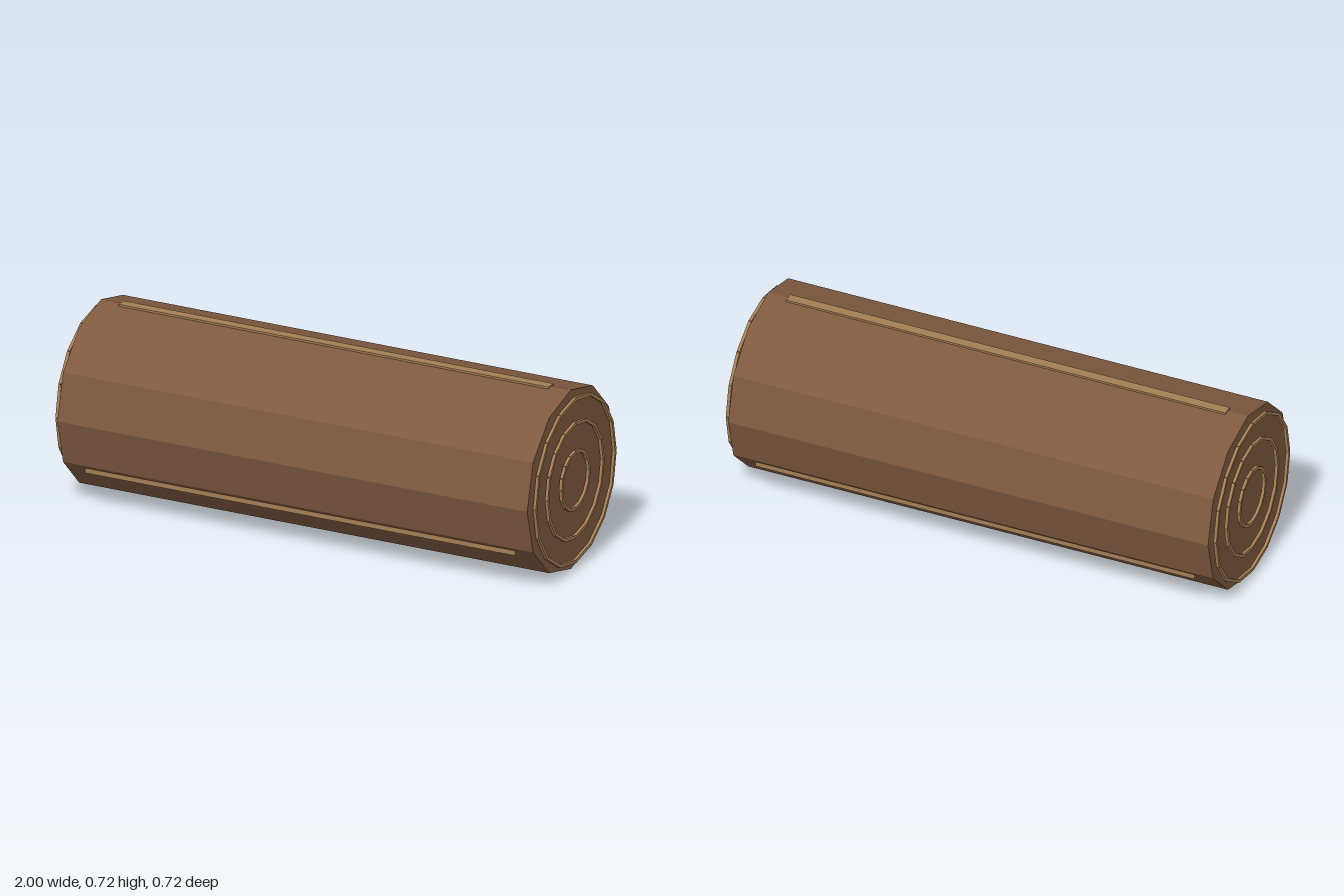
import * as THREE from 'three';

const CENTRE_Y = 0.359;
const RADIUS = 0.359;

export function createModel() {
  const model = new THREE.Group();
  model.name = 'log';
  const bark = new THREE.MeshStandardMaterial({ color: 0x7f5a40, flatShading: true });
  const paleWood = new THREE.MeshStandardMaterial({ color: 0xa57f55, flatShading: true });

  function addBox(parent, name, size, position) {
    const mesh = new THREE.Mesh(new THREE.BoxGeometry(...size), paleWood);
    mesh.name = name;
    mesh.position.set(...position);
    parent.add(mesh);
    return mesh;
  }

  // Twelve-sided trunk lying along x, with a corner at top and bottom
  const trunkGeometry = new THREE.CylinderGeometry(RADIUS, RADIUS, 1.956, 12);
  trunkGeometry.rotateZ(Math.PI / 2);
  const trunk = new THREE.Mesh(trunkGeometry, bark);
  trunk.name = 'trunk';
  trunk.position.y = CENTRE_Y;
  model.add(trunk);

  // Growth rings on both ends, each made of sixteen straight slats
  const SIDES = 16;
  const half = Math.PI / SIDES;
  for (const side of [1, -1]) {
    const endRings = new THREE.Group();
    endRings.name = side > 0 ? 'leftEndRings' : 'rightEndRings';
    endRings.position.set(side * 0.994, CENTRE_Y, 0);
    model.add(endRings);

    for (const [name, r] of [['outerRing', 0.319], ['middleRing', 0.223], ['innerRing', 0.111]]) {
      const ring = new THREE.Group();
      ring.name = name;
      endRings.add(ring);
      for (let i = 0; i < SIDES; i++) {
        const a = (2 * i + 1) * half;
        const slat = addBox(ring, 'ringSlat', [0.012, 0.0125, 2 * r * Math.tan(half)],
          [0, r * Math.cos(a), r * Math.sin(a)]);
        slat.rotation.x = a;
      }
    }
  }

  // Bark ridges along the top and the two lower sides
  addBox(model, 'topRidge', [1.79, 0.03, 0.04], [0, 0.7055, 0]);
  addBox(model, 'frontRidge', [1.79, 0.03, 0.04], [0, 0.16, 0.276]);
  addBox(model, 'backRidge', [1.79, 0.03, 0.04], [0, 0.16, -0.276]);

  return model;
}
